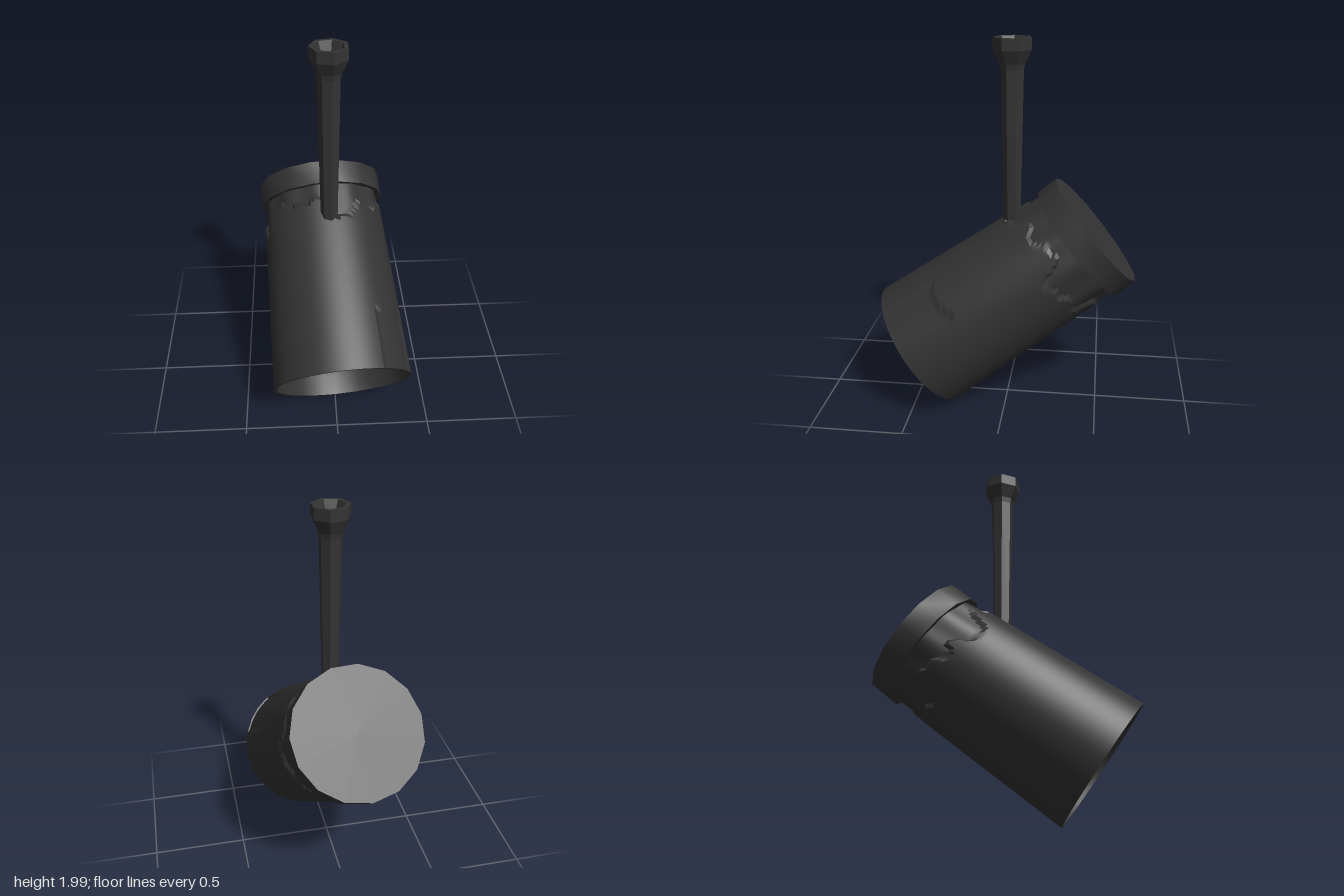
import * as THREE from 'three';
import { toCreasedNormals } from 'three/addons/utils/BufferGeometryUtils.js';

const dark = new THREE.MeshStandardMaterial({ color: 0x333333, side: THREE.DoubleSide });
const darkFlat = new THREE.MeshStandardMaterial({ color: 0x333333, flatShading: true, side: THREE.DoubleSide });
const pale = new THREE.MeshStandardMaterial({ color: 0x888888 });

const lathe = (pts, sides, start = 0) =>
  new THREE.LatheGeometry(pts.map(([r, h]) => new THREE.Vector2(r, h)), sides, start);

function part(name, geometry, material) {
  const mesh = new THREE.Mesh(geometry, material);
  mesh.name = name;
  return mesh;
}

// Group whose local +z points along the given direction
function aimed(name, position, direction) {
  const g = new THREE.Group();
  g.name = name;
  g.position.set(...position);
  g.lookAt(new THREE.Vector3(...direction).add(g.position));
  return g;
}

// Ragged boundary of the worn surface near the back; a = angle from the top
const wornEdge = a => -0.9 + 0.05 * Math.sin(4 * a + 0.6) + 0.035 * Math.sin(9 * a) + 0.02 * Math.sin(17 * a + 1);

function housingGeometry() {
  const back = -1.1, rows = 56, pts = [];
  for (let i = 0; i <= rows; i++) {
    const z = back * (1 - i / rows);
    pts.push([0.369 + 0.04 * z, z]);
  }
  const geo = lathe(pts, 112).rotateX(Math.PI / 2);
  const p = geo.attributes.position;
  for (let i = 0; i < p.count; i++) {
    const x = p.getX(i), y = p.getY(i), z = p.getZ(i);
    const a = Math.atan2(x, y);
    let inset = 0;
    if (z < wornEdge(a)) inset = 0.013 + 0.005 * Math.sin(11 * a);
    // Sunken panel on the left shoulder, running to the front rim
    if (a > 0.55 && a < 1.2 && z > -0.33 - 0.03 * Math.sin(6 * a)) inset = 0.01;
    const k = 1 - inset / Math.hypot(x, y);
    p.setXY(i, x * k, y * k);
  }
  return toCreasedNormals(geo, 0.5);
}

export function createModel() {
  const model = new THREE.Group();
  model.name = 'spotlight';

  // Lamp body, tilted down towards the front; its origin is the front rim centre
  const lamp = aimed('lamp', [0.03, 0.31, 0.48], [0.085, -0.675, 0.95]);
  lamp.add(part('housing', housingGeometry(), dark));

  const bowl = lathe([[0.369, 0], [0.357, 0], [0.345, -0.1], [0.3, -0.22], [0.22, -0.35], [0.17, -0.42], [0.165, -0.47], [0, -0.47]], 32);
  lamp.add(part('reflector', toCreasedNormals(bowl.rotateX(Math.PI / 2), 0.6), dark));

  // Light source with a ring of ribs
  const lens = part('lens', new THREE.CylinderGeometry(0.12, 0.12, 0.05, 24).rotateX(Math.PI / 2), pale);
  lens.position.z = -0.445;
  lamp.add(lens);
  const ribs = new THREE.Group();
  ribs.name = 'reflectorRibs';
  for (let i = 0; i < 18; i++) {
    const a = i / 18 * Math.PI * 2;
    const rib = part('rib', new THREE.BoxGeometry(0.055, 0.014, 0.06), dark);
    rib.position.set(0.15 * Math.cos(a), 0.15 * Math.sin(a), -0.44);
    rib.rotation.z = a;
    ribs.add(rib);
  }
  lamp.add(ribs);
  model.add(lamp);

  // Back cap, leaning slightly more than the body
  const cap = aimed('backCap', [-0.055, 0.995, -0.47], [0.08, -0.64, 0.77]);
  const capGeo = lathe([[0, 0], [0.345, 0], [0.345, 0.125], [0.29, 0.125]], 15).rotateX(Math.PI / 2);
  cap.add(part('cap', toCreasedNormals(capGeo, 0.6), dark));
  model.add(cap);

  // Hanging stem with a flared, hollow ceiling socket
  const stem = part('stem', lathe([
    [0, 0.96], [0.045, 0.96], [0.047, 1.05], [0.06, 1.84], [0.066, 1.87], [0.1, 1.94], [0.1, 2],
    [0.078, 2], [0.058, 1.95], [0.036, 1.95], [0.03, 1.91], [0, 1.91],
  ], 7, -Math.PI / 2), darkFlat);
  stem.position.set(-0.015, 0, -0.023);
  model.add(stem);

  return model;
}
